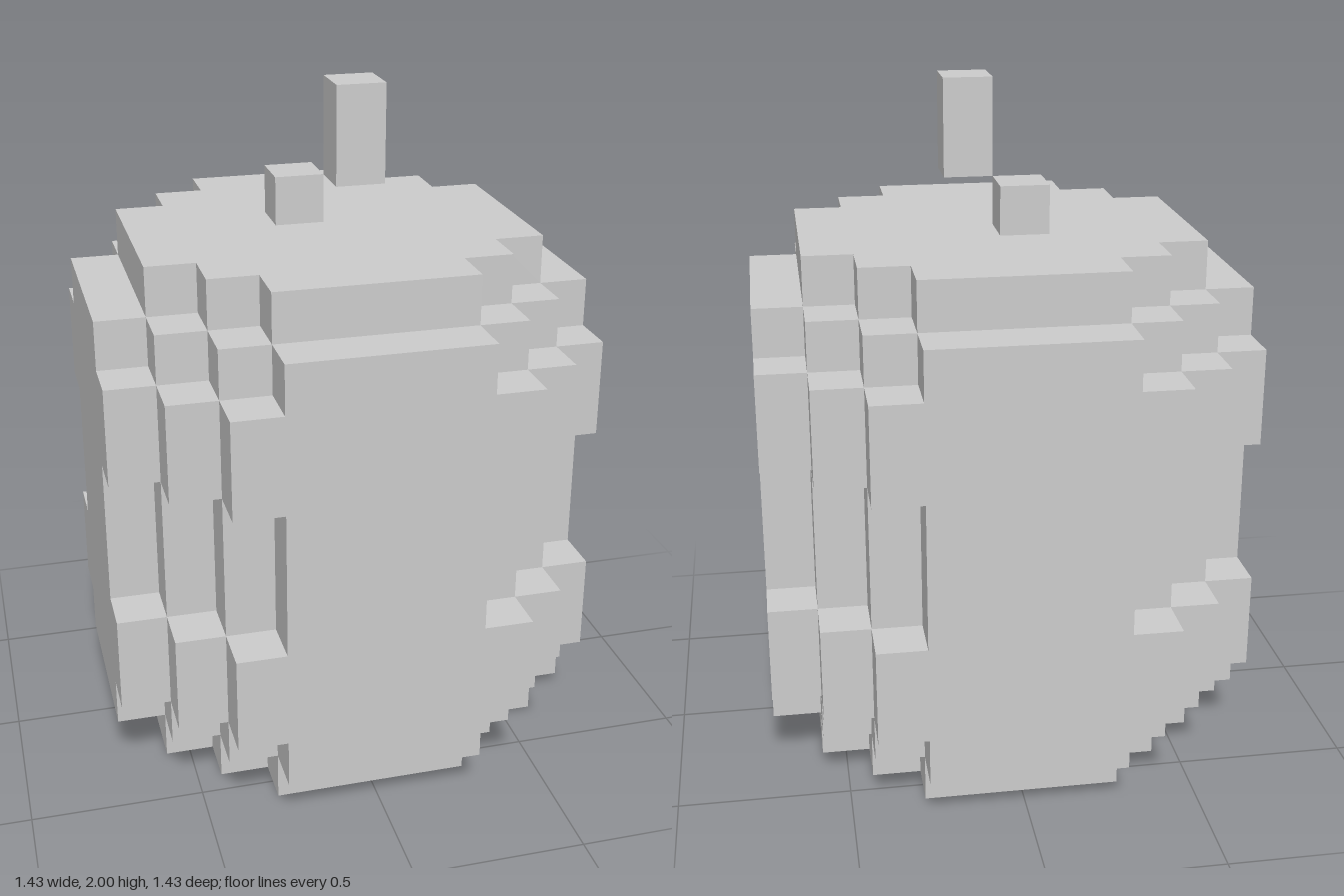
import * as THREE from 'three';

const U = 1 / 7; // size of one block

const material = new THREE.MeshStandardMaterial({ color: 0xcccccc, flatShading: true });

// Square plan with stair-stepped corners: reach = half width, flat = half length of each straight side
function steppedPlan(reach, flat) {
  const corner = [[reach, flat]];
  for (let i = 1; i <= reach - flat; i++) {
    corner.push([reach - i, flat + i - 1], [reach - i, flat + i]);
  }
  const points = [];
  for (let quarter = 0; quarter < 4; quarter++) {
    for (const [x, y] of corner) {
      const p = [[x, y], [-y, x], [-x, -y], [y, -x]][quarter];
      points.push(new THREE.Vector2(p[0] * U, p[1] * U));
    }
  }
  return new THREE.Shape(points);
}

// One horizontal slab of the body
function layer(name, reach, flat, bottom, top) {
  const geometry = new THREE.ExtrudeGeometry(steppedPlan(reach, flat), {
    depth: (top - bottom) * U,
    bevelEnabled: false,
  });
  geometry.rotateX(-Math.PI / 2);
  const mesh = new THREE.Mesh(geometry, material);
  mesh.name = name;
  mesh.position.y = bottom * U;
  return mesh;
}

// Box standing on a block corner of the grid
function block(name, x, y, z, height) {
  const mesh = new THREE.Mesh(new THREE.BoxGeometry(U, height * U, U), material);
  mesh.name = name;
  mesh.position.set((x + 0.5) * U, (y + height / 2) * U, (z + 0.5) * U);
  return mesh;
}

export function createModel() {
  const model = new THREE.Group();
  model.name = 'blockFruit';

  // Body: caps, grooved layers and wide bands, stacked bottom to top
  const body = new THREE.Group();
  body.name = 'body';
  body.add(
    layer('bottomCap', 4, 2, 0, 1),
    layer('lowerShoulder', 5, 2, 1, 2),
    layer('lowerBand', 5, 3, 2, 4),
    layer('waist', 5, 2, 4, 7),
    layer('upperBand', 5, 3, 7, 9),
    layer('upperShoulder', 5, 2, 9, 10),
    layer('topCap', 4, 2, 10, 11),
  );

  // Stem: two blocks meeting at a corner
  const stem = new THREE.Group();
  stem.name = 'stem';
  stem.add(block('stemBase', -1, 11, -1, 1), block('stemTip', 0, 12, 0, 2));

  model.add(body, stem);
  return model;
}
